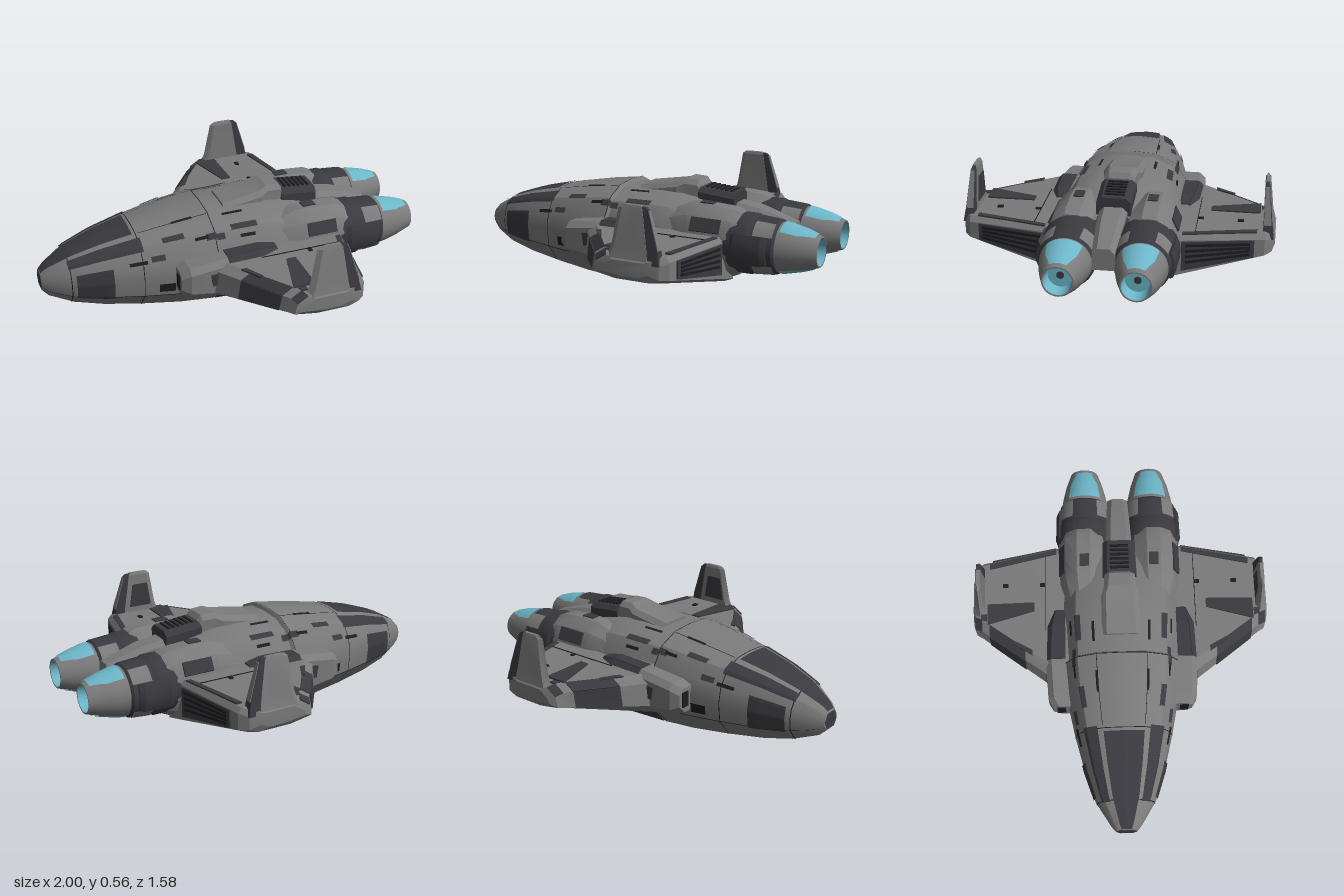
import * as THREE from 'three';
import { toCreasedNormals } from 'three/addons/utils/BufferGeometryUtils.js';

const mat = (name, color) => Object.assign(new THREE.MeshStandardMaterial({ color }), { name });

// Non-indexed geometry from a list of triangles (three [x, y, z] corners each)
function fromTris(tris) {
  const g = new THREE.BufferGeometry();
  g.setAttribute('position', new THREE.Float32BufferAttribute(tris.flat(2), 3));
  return g;
}
// Closed skin through equal-sized convex loops, always facing outwards
function loft(loops) {
  const tris = [], n = loops[0].length;
  for (let k = 0; k < loops.length - 1; k++)
    for (let i = 0; i < n; i++) {
      const j = (i + 1) % n, a = loops[k], b = loops[k + 1];
      tris.push([a[i], a[j], b[j]], [a[i], b[j], b[i]]);
    }
  const first = loops[0], last = loops[loops.length - 1];
  for (let i = 1; i < n - 1; i++) tris.push([first[0], first[i + 1], first[i]], [last[0], last[i], last[i + 1]]);
  const vol = tris.reduce((s, [a, b, c]) => s + a[0] * (b[1] * c[2] - b[2] * c[1])
    + a[1] * (b[2] * c[0] - b[0] * c[2]) + a[2] * (b[0] * c[1] - b[1] * c[0]), 0);
  return fromTris(vol < 0 ? tris.map(([a, b, c]) => [a, c, b]) : tris);
}
// Thin plate with a convex outline, spread by d to both sides
const plate = (pts, d) => loft([-1, 1].map(s => pts.map(p => p.map((v, i) => v + s * d[i]))));
// Curved panel over a surface function f(x, u)
function patch(f, x0, x1, u0, u1, nx = 20, nu = 16) {
  const tris = [], p = (i, j) => f(x0 + (x1 - x0) * i / nx, u0 + (u1 - u0) * j / nu);
  for (let i = 0; i < nx; i++)
    for (let j = 0; j < nu; j++) {
      tris.push([p(i, j), p(i, j + 1), p(i + 1, j)], [p(i + 1, j), p(i, j + 1), p(i + 1, j + 1)]);
    }
  return fromTris(tris);
}
function mirrored(g) {
  const p = g.getAttribute('position'), out = [];
  for (let i = 0; i < p.count; i += 3)
    for (const k of [i, i + 2, i + 1]) out.push(p.getX(k), p.getY(k), -p.getZ(k));
  const m = new THREE.BufferGeometry();
  m.setAttribute('position', new THREE.Float32BufferAttribute(out, 3));
  return m;
}

// Hull stations: x, half width, bottom, top
const stations = [[-1, .055, .16, .25], [-.97, .08, .13, .28], [-.85, .155, .09, .345], [-.7, .205, .06, .395],
  [-.5, .255, .035, .44], [-.3, .295, .015, .475], [-.13, .312, .005, .497], [-.12, .306, .004, .48],
  [.1, .32, 0, .487], [.2, .32, .02, .482], [.36, .3, .09, .45], [.52, .27, .15, .4]];
// Half section from top centre to keel: share of width, share of height
const section = [[0, 1], [.4, .985], [.74, .89], [.94, .7], [1, .5], [.95, .25], [.62, 0], [0, 0]];
const mix = (a, b, t) => a.map((v, i) => v + (b[i] - v) * t);
function hullPoint(x, u, lift = 0) {
  let k = 0;
  while (k < stations.length - 2 && x > stations[k + 1][0]) k++;
  const [x0] = stations[k], [x1] = stations[k + 1];
  const [, w, b, t] = mix(stations[k], stations[k + 1], (x - x0) / (x1 - x0));
  const i = Math.min(Math.floor(u), 6), [fz, fy] = mix(section[i], section[i + 1], u - i);
  const l = Math.hypot(fz, fy - .5) || 1;
  return [x, b + (t - b) * fy + lift * (fy - .5) / l, w * fz + lift * fz / l];
}

export function createModel() {
  const model = new THREE.Group();
  model.name = 'spaceship';
  const grey = mat('hull grey', 0x7a7a7a), dark = mat('dark panel', 0x3a393f);
  const black = mat('vent black', 0x1d1d20), cyan = mat('engine cyan', 0x6cb6c9);

  const add = (name, g, m, crease = .5) => {
    const mesh = new THREE.Mesh(toCreasedNormals(g, crease), m);
    mesh.name = name;
    model.add(mesh);
  };
  const pair = (name, g, m, crease) => {
    add(name + 'Left', g, m, crease);
    add(name + 'Right', mirrored(g), m, crease);
  };

  // Hull
  add('hull', loft(stations.map(([x]) => {
    const half = section.map((_, u) => hullPoint(x, u));
    return [...half, ...half.slice(1, 7).reverse().map(([a, b, c]) => [a, b, -c])];
  })), grey);
  add('noseTip', plate([[-.999, .165, -.032], [-.999, .205, -.052], [-.999, .245, -.03], [-.999, .245, .03],
    [-.999, .205, .052], [-.999, .165, .032]], [.003, 0, 0]), dark);

  // Painted panels and vents: x0, x1, u0, u1
  const onHull = (x, u) => hullPoint(x, u, .006), onPanel = (x, u) => hullPoint(x, u, .008);
  const panels = [[-.998, -.53, 0, 1.02], [-.87, -.5, 1.35, 2.25], [-.84, -.66, 2.9, 5.1],
    [-.12, .3, 5.1, 5.95], [-.4, -.29, 1.75, 2.05], [-.04, .1, 1.75, 2.05], [-.18, -.08, 2.1, 2.4],
    [-.47, -.4, 2.6, 2.9], [-.9, -.7, 6.3, 7]];
  for (const p of panels) pair('hullPanel', patch(onHull, ...p), dark);
  const vents = [[-.44, -.36, 4.3, 4.75], [-.58, -.49, 2.75, 2.95], [-.24, -.17, 2.15, 2.3], [-.06, .05, 1.08, 1.2],
    [0, .08, 2.3, 2.45], [-.33, -.22, 1.0, 1.12]];
  for (const v of vents) pair('hullVent', patch(onPanel, ...v, 6, 6), black);
  // Panel seams
  const onSeam = (x, u) => hullPoint(x, u, .003);
  for (const x of [-.865, -.515, -.136]) pair('hullSeam', patch(onSeam, x, x + .004, 0, 6, 1, 24), black);
  pair('hullLongSeam', patch(onSeam, -.98, .3, 4.98, 5.02, 24, 1), black);
  pair('canopySeam', patch(onSeam, -.5, -.14, 1.04, 1.07, 16, 1), black);

  // Spine along the back with a dark grille, then the tail box between the engines
  const ring = (x, w, b, t, c = .025) => [[x, b, -w], [x, t - c, -w], [x, t, c - w], [x, t, w - c], [x, t - c, w], [x, b, w]];
  add('spine', loft([ring(-.03, .1, .4, .495), ring(.18, .1, .4, .53), ring(.22, .085, .4, .548), ring(.29, .08, .4, .545),
    ring(.31, .075, .4, .52)]), grey, .3);
  add('spineGrille', loft([ring(.3, .09, .35, .515), ring(.5, .085, .3, .495)]), dark, .3);
  for (let i = 0; i < 6; i++) {
    const x = .33 + i * .026, y = .515 - i * .0026;
    add('spineSlat', plate([[x, y, -.05], [x, y, .05], [x + .012, y, .05], [x + .012, y, -.05]], [0, .003, 0]), black);
  }
  add('tailBox', loft([ring(.48, .07, .2, .45), ring(.62, .066, .22, .43), ring(.81, .055, .26, .37)]), grey, .3);
  pair('tailBoxSide', plate([[.52, .3, .073], [.52, .405, .073], [.78, .345, .06], [.78, .3, .06]], [0, 0, .004]), dark);
  add('keelRear', loft([ring(.3, .09, .05, .14), ring(.52, .07, .13, .24)]), dark, .3);

  // Engines
  const cy = .285, cz = .18;
  const polar = (x, r, a) => [x, cy + r * Math.cos(a), cz + r * Math.sin(a)];
  const circle = (x, r, n = 28) => Array.from({ length: n }, (_, i) => polar(x, r, i / n * Math.PI * 2));
  const pod = (x, ry, rz) => Array.from({ length: 12 }, (_, i) => {
    const a = (i + .5) / 12 * Math.PI * 2;
    return [x, cy + ry * 1.03 * Math.cos(a), .188 + rz * 1.03 * Math.sin(a)];
  });
  pair('enginePod', loft([pod(.2, .13, .1), pod(.32, .18, .132), pod(.42, .182, .137), pod(.56, .172, .137), pod(.6, .155, .13)]), grey);
  pair('podVent', plate([[.36, .41, .29], [.36, .348, .321], [.52, .348, .321], [.52, .41, .29]], [0, .004, .005]), dark);
  pair('podTopVent', plate([[.37, .468, .16], [.37, .468, .21], [.44, .467, .21], [.44, .467, .16]], [0, .004, 0]), dark);
  pair('engineCollar', loft([circle(.5, .14), circle(.57, .153), circle(.66, .153), circle(.675, .145), circle(.69, .145),
    circle(.79, .137), circle(.81, .12)]), dark);
  const onCollar = (x, a) => polar(x, .149 - (x - .69) * .08, a);
  for (const [a, b] of [[.45, 1.05], [2.1, 2.7], [3.6, 4.2], [5.2, 5.8]]) pair('collarPlate', patch(onCollar, .69, .79, a, b), grey);
  // Raised pad on the outer side of the collar
  const pad = (x, r) => [...[-.48, -.25, 0, .25, .48].map(d => polar(x, r, Math.PI / 2 + d)),
    ...[.48, -.48].map(d => polar(x, .13, Math.PI / 2 + d))];
  pair('collarPad', loft([pad(.58, .154), pad(.6, .163), pad(.74, .16), pad(.765, .148)]), dark, .3);
  // Nozzle cone with a glowing lining and tapered glowing panels above and below
  pair('nozzle', loft([circle(.78, .13), circle(.84, .122), circle(.92, .103), circle(1, .076), circle(1, .07), circle(.925, .062)]), grey);
  pair('nozzleLining', patch((x, a) => polar(x, .06 + (x - .93) * .11, a), .927, .999, Math.PI * 2, 0, 2, 28), cyan);
  pair('nozzleGlow', loft([circle(.92, .061), circle(.93, .061)]), cyan);
  pair('nozzleCore', loft([circle(.929, .018), circle(.934, .018)]), dark);
  const coneRadius = x => .004 + (x < .84 ? .122 + (.84 - x) * .133 : x < .92 ? .122 - (x - .84) * .2375 : .103 - (x - .92) * .3375);
  for (const a of [0, Math.PI])
    pair('nozzlePanel', patch((x, u) => polar(x, coneRadius(x), a + u * (.72 - Math.max(0, x - .9) * 3)), .815, .98, -1, 1), cyan);

  // Wings: section from leading edge over the top to the trailing edge and back
  const wing = (z, xl, xt, b, t, lip) => [[xl, b + lip, z], [xl + .015, t - .035, z], [xl + .07, t, z], [xt - .02, t, z],
    [xt, t - .025, z], [xt, b + .02, z], [xt - .05, b, z], [xl + .12, b, z]];
  const wingAt = z => wing(z, ...mix([-.26, .55, .1, .335, .07], [.06, .465, .2, .33, .02], (z - .3) / .44));
  const tip = wing(.775, .08, .425, .205, .315, .02);
  pair('wing', loft([wing(.22, -.29, .56, .08, .335, .08), wingAt(.3), wingAt(.74), tip,
    wing(.79, .12, .37, .225, .3, .015)]), grey, .3);
  // Dark wing panels on the outer leading edge, the tip corner and beneath
  const inner = wingAt(.51), outer = wingAt(.7), end = wingAt(.74);
  pair('wingEdgePanel', plate([inner[0], inner[1], outer[1], outer[0]], [.004, 0, -.003]), dark);
  pair('wingEdgeBevel', plate([inner[1], inner[2], outer[2], outer[1]], [.002, -.004, -.001]), dark);
  pair('wingTipCorner', plate([end[1], end[2], tip[2], tip[1]], [.002, -.004, -.002]), dark);
  const under = (x, z) => [x, .099 + (z - .3) * .227, z];
  pair('wingUnderPanel', plate([under(-.06, .4), under(.13, .4), under(.29, .69), under(.145, .69)], [0, .004, 0]), dark);
  const top = (pts, y = .335) => plate(pts.map(([x, z]) => [x, y, z]), [0, .004, 0]);
  pair('wingStripe', top([[.17, .46], [.22, .46], [.215, .71], [.1, .71]]), dark);
  pair('wingRearStrip', top([[.5, .34], [.525, .34], [.45, .7], [.42, .7]]), dark);
  pair('wingTipPanel', top([[.12, .715], [.16, .715], [.16, .745], [.13, .745]], .331), dark);
  pair('wingFrontVent', top([[-.08, .47], [-.05, .47], [.0, .56], [-.015, .57]]), dark);
  for (const z of [.4, .6]) pair('wingHatch', top([[.31, z], [.33, z], [.33, z + .03], [.31, z + .03]]), black);
  pair('wingSeam', top([[.06, .4], [.5, .4], [.5, .403], [.06, .403]], .334), black);
  // Louvres on the trailing edge
  const rear = (z, y) => [.555 - (z - .3) * .193, y, z];
  pair('wingLouvre', plate([rear(.34, .15), rear(.34, .305), rear(.69, .305), rear(.69, .215)], [.004, 0, 0]), dark);
  for (let i = 0; i < 4; i++) {
    const y = .19 + i * .03, rise = (3 - i) * .012;
    pair('louvreSlat', plate([rear(.36, y), rear(.36, y + .013), rear(.67, y + .013 + rise), rear(.67, y + rise)], [.007, 0, 0]), black);
  }

  // Upright wing-tip fins: dark rear sides, grey rear edge, one dark inner panel
  const fin = (y, x0, x1, z0, z1) => [[x0, y, (z0 + z1) / 2], [x0 + .025, y, z1], [x1, y, z1], [x1, y, z0], [x0 + .025, y, z0]];
  pair('fin', loft([fin(.3, .14, .37, .725, .785), fin(.36, .165, .36, .727, .772), fin(.545, .2, .33, .727, .753), fin(.56, .22, .32, .732, .748)]), grey, .3);
  pair('finRear', loft([fin(.29, .345, .43, .727, .782), fin(.36, .335, .415, .729, .77), fin(.54, .305, .36, .729, .751), fin(.555, .3, .345, .733, .747)]), dark, .3);
  pair('finRearEdge', plate([[.416, .36, .731], [.416, .36, .768], [.361, .54, .75], [.361, .54, .73]], [.003, 0, 0]), grey);
  add('finInnerPanel', plate([[.2, .36, .727], [.33, .36, .727], [.31, .49, .727], [.22, .49, .727]], [0, 0, .003]), dark);

  // Shoulder intakes along the wing roots
  const box = (x, z, b, t) => [[x, b, .24], [x, t, .24], [x, t, z - .03], [x, t - .03, z], [x, b + .04, z], [x, b, z - .04]];
  const shoulder = [box(-.355, .365, .17, .3), box(-.31, .39, .15, .325), box(-.11, .4, .125, .353), box(.08, .39, .125, .358),
    box(.17, .37, .14, .34)];
  pair('shoulder', loft(shoulder), grey, .3);
  // Dark panel over the rear top and its bevel
  for (const k of [2, 3]) {
    const a = shoulder[k], b = shoulder[k + 1];
    const edge = s => [s[1][0], s[1][1], .295];
    pair('shoulderPanel', plate([edge(a), a[2], b[2], edge(b)], [0, .004, 0]), dark);
    pair('shoulderBevel', plate([a[2], a[3], b[3], b[2]], [0, .003, .003]), dark);
  }
  pair('intake', plate([[-.356, .2, .3], [-.356, .28, .3], [-.356, .28, .345], [-.356, .2, .345]], [.004, 0, 0]), black);
  pair('shoulderHatch', plate([[-.2, .22, .397], [-.21, .285, .397], [-.12, .295, .4], [-.11, .23, .4]], [0, 0, .004]), dark);

  return model;
}
